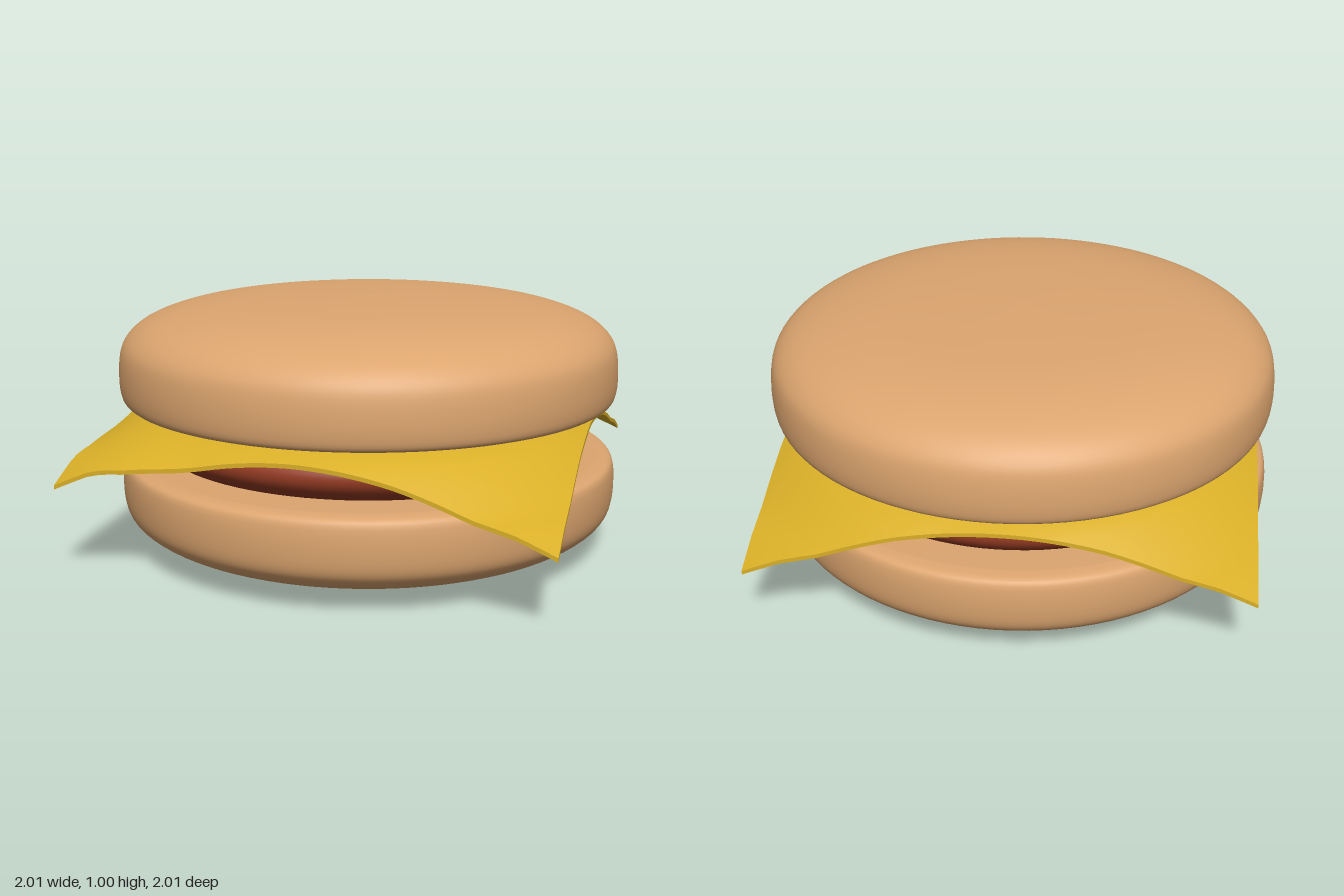
import * as THREE from 'three';

const BUN = 0xdca56f, PATTY = 0x923a22, CHEESE = 0xdab028;

// Round part turned from a profile of [radius, height] points, listed bottom to top
function turned(name, color, start, curve, end) {
  const smooth = new THREE.CatmullRomCurve3(curve.map(([r, y]) => new THREE.Vector3(r, y, 0)), false, 'centripetal');
  const points = [new THREE.Vector2(...start), ...smooth.getPoints(36).map(p => new THREE.Vector2(p.x, p.y)), new THREE.Vector2(...end)];
  const mesh = new THREE.Mesh(new THREE.LatheGeometry(points, 96), new THREE.MeshStandardMaterial({ color }));
  mesh.name = name;
  return mesh;
}

// Height of the cheese by distance from the middle
const DROOP = [[0, 0.583], [0.68, 0.583], [0.8, 0.568], [0.92, 0.53], [1.0, 0.48], [1.13, 0.385], [1.22, 0.345], [1.32, 0.282]];
function droop(r) {
  for (let i = 1; i < DROOP.length; i++) {
    const [r0, y0] = DROOP[i - 1], [r1, y1] = DROOP[i];
    if (r <= r1) return THREE.MathUtils.lerp(y0, y1, (r - r0) / (r1 - r0));
  }
  return DROOP[DROOP.length - 1][1];
}

// Thin square slice, draped over the patty with one corner held higher
function cheeseSlice() {
  const half = 0.93, thick = 0.016;
  const geometry = new THREE.BoxGeometry(2 * half, thick, 2 * half, 40, 1, 40);
  const p = geometry.attributes.position;
  for (let i = 0; i < p.count; i++) {
    const x = p.getX(i), z = p.getZ(i);
    const corner = Math.abs(x * z) / (half * half);
    const r = Math.hypot(x, z);
    const lift = x < 0 && z > 0 ? 0.085 * THREE.MathUtils.smoothstep(corner, 0.35, 0.85) : 0;
    p.setXYZ(i, x - 0.017 + 0.017 * corner, droop(r) + lift + p.getY(i), z - 0.013 + 0.01 * corner);
  }
  geometry.computeVertexNormals();
  const mesh = new THREE.Mesh(geometry, new THREE.MeshStandardMaterial({ color: CHEESE, side: THREE.DoubleSide }));
  mesh.name = 'cheeseSlice';
  return mesh;
}

export function createModel() {
  const group = new THREE.Group();
  group.name = 'cheeseburger';
  group.add(
    turned('bottomBun', BUN, [0, 0],
      [[0.3, 0.006], [0.6, 0.023], [0.8, 0.051], [0.92, 0.095], [0.98, 0.145], [1, 0.2], [1, 0.33], [0.985, 0.362], [0.93, 0.375]],
      [0, 0.378]),
    turned('patty', PATTY, [0, 0.37],
      [[0.78, 0.37], [0.85, 0.4], [0.89, 0.45], [0.89, 0.49], [0.85, 0.535], [0.75, 0.565]],
      [0, 0.574]),
    cheeseSlice(),
    turned('topBun', BUN, [0, 0.594],
      [[0.93, 0.594], [0.985, 0.606], [1, 0.64], [1, 0.76], [0.98, 0.83], [0.92, 0.89], [0.8, 0.94], [0.6, 0.977], [0.3, 0.996]],
      [0, 1]),
  );
  return group;
}
